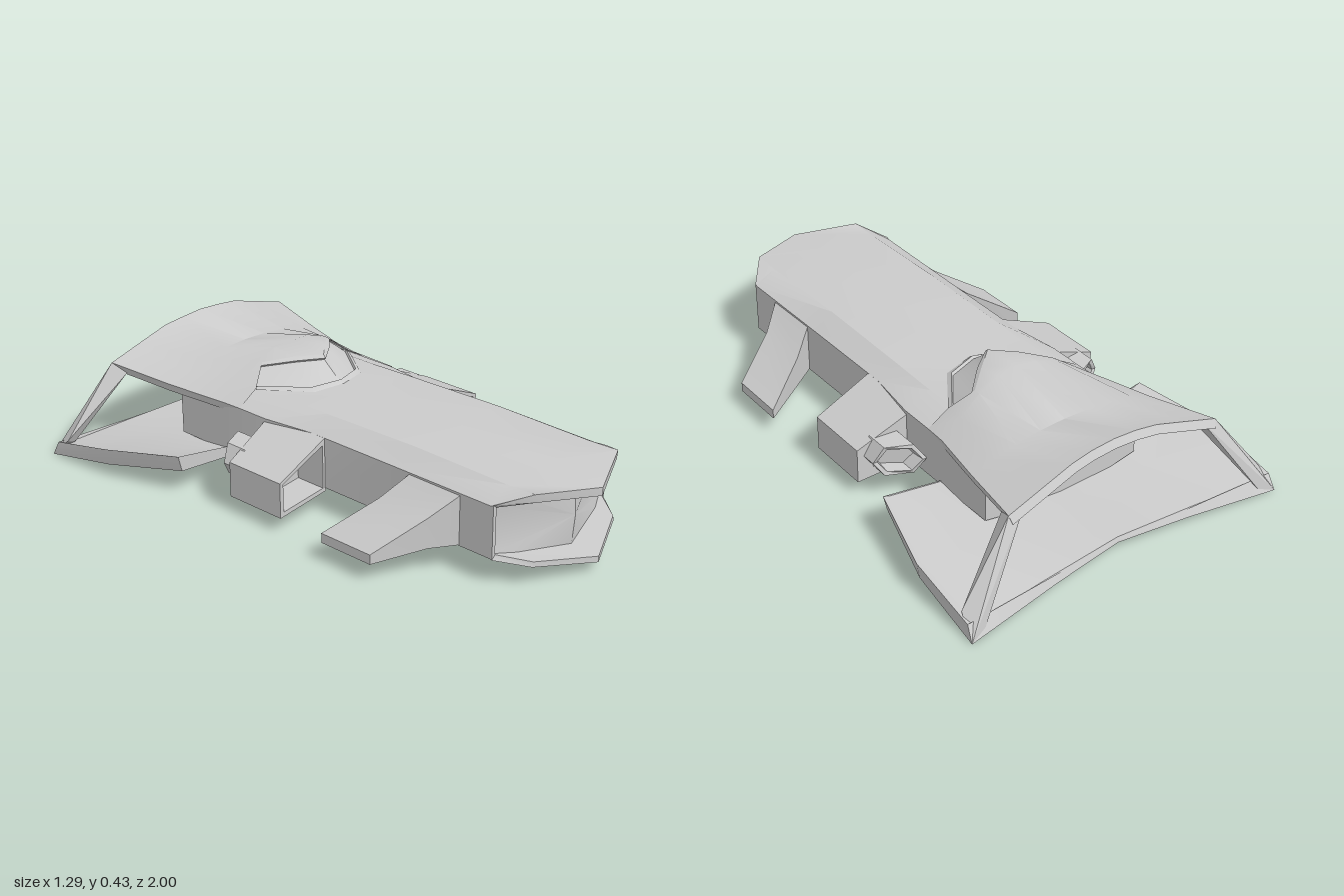
import * as THREE from 'three';
import { toCreasedNormals } from 'three/addons/utils/BufferGeometryUtils.js';

const material = new THREE.MeshStandardMaterial({ color: 0xcccccc, side: THREE.DoubleSide });

// Skin a list of cross-sections; each section is a list of [x, y, z]
function loft(name, sections, closed = true, crease = 0.5) {
  const pos = [];
  const same = (a, b) => a.every((v, i) => Math.abs(v - b[i]) < 1e-6);
  const tri = (a, b, c) => {
    if (!same(a, b) && !same(b, c) && !same(a, c)) pos.push(...a, ...b, ...c);
  };
  for (let i = 0; i < sections.length - 1; i++) {
    const f = sections[i], b = sections[i + 1], n = f.length;
    for (let j = 0; j < (closed ? n : n - 1); j++) {
      const k = (j + 1) % n;
      tri(f[j], b[j], b[k]);
      tri(f[j], b[k], f[k]);
    }
  }
  const geo = new THREE.BufferGeometry();
  geo.setAttribute('position', new THREE.Float32BufferAttribute(pos, 3));
  const mesh = new THREE.Mesh(toCreasedNormals(geo, crease), material);
  mesh.name = name;
  return mesh;
}

// Section collapsed to one point, used to close an end
const cap = (ring, p) => {
  const c = p ?? [0, 1, 2].map(i => ring.reduce((s, q) => s + q[i], 0) / ring.length);
  return ring.map(() => c);
};
// Mirror a half section (bottom centre ... top centre) into a full ring
const ring = half => [...half, ...half.slice(1, -1).reverse().map(([x, y, z]) => [-x, y, z])];
// Scale a section in x and y about a point and shift it in z
const inset = (r, cx, cy, sx, sy, dz = 0) =>
  r.map(([x, y, z]) => [cx + (x - cx) * sx, cy + (y - cy) * sy, z + dz]);
const atZ = (pts, z) => pts.map(([x, y]) => [x, y, z]);
const centre = pts => [0, 1].map(i => pts.reduce((s, p) => s + p[i], 0) / pts.length);

function buildHull() {
  // Pointed mouth rim, swept back towards the sides
  const rim = ring([[0, 0.042, 1], [0.22, 0.075, 0.9], [0.3, 0.095, 0.8],
    [0.3, 0.29, 0.8], [0.22, 0.333, 0.9], [0, 0.312, 1]]);
  const lip = ring([[0, 0.064, 1], [0.215, 0.093, 0.9], [0.285, 0.11, 0.8],
    [0.285, 0.278, 0.8], [0.215, 0.303, 0.9], [0, 0.282, 1]]);
  const wall = ring([[0, 0.07, 0.89], [0.21, 0.1, 0.83], [0.285, 0.11, 0.79],
    [0.285, 0.278, 0.79], [0.21, 0.298, 0.83], [0, 0.3, 0.89]]);
  const body = (z, w, top) => ring([[0, 0.043, z], [0.22, 0.078, z], [w, 0.097, z],
    [w, 0.285, z], [0.22, top - 0.008, z], [0, top, z]]);
  const back = body(-0.64, 0.32, 0.335);
  return loft('hull', [cap(wall, [0, 0.18, 0.9]), wall, lip, rim, body(0.79, 0.3, 0.338),
    body(0.4, 0.297, 0.346), body(0, 0.295, 0.34), body(-0.2, 0.322, 0.335),
    body(-0.4, 0.322, 0.335), back, cap(back)]);
}

function buildDeck() {
  // Hump behind the canopy that sinks, then flares up to the tail edge
  const tops = [
    [[0.322, 0.285, -0.33], [0.24, 0.335, -0.33], [0.165, 0.4, -0.375], [0.08, 0.417, -0.3], [0, 0.42, -0.23]],
    [[0.325, 0.285, -0.41], [0.25, 0.345, -0.41], [0.165, 0.4, -0.4], [0.08, 0.43, -0.39], [0, 0.436, -0.38]],
    [[0.375, 0.303, -0.64], [0.3, 0.328, -0.64], [0.2, 0.352, -0.64], [0.1, 0.363, -0.64], [0, 0.367, -0.64]],
    [[0.43, 0.332, -0.895], [0.3, 0.372, -0.89], [0.175, 0.41, -0.885], [0.09, 0.421, -0.88], [0, 0.427, -0.88]],
  ];
  const sections = tops.map((top, i) => {
    const dz = i === 3 ? -0.015 : 0;
    const under = top.map(([x, y, z]) => [x * 0.985, y - 0.028, z + dz]).reverse();
    return ring([...under, ...top]);
  });
  const last = sections[3];
  const half = last.length / 2;
  const deck = new THREE.Group();
  deck.name = 'rearDeck';
  deck.add(loft('deckShell', sections));
  // Strip closing the tail edge between upper and lower skin
  const upper = tops[3], lower = upper.map(([x, y, z]) => [x * 0.985, y - 0.028, z - 0.015]);
  const full = h => [...h, ...h.slice(0, -1).reverse().map(([x, y, z]) => [-x, y, z])];
  deck.add(loft('tailEdge', [full(upper), full(lower)], false));
  return deck;
}

function buildCanopy() {
  const base = [[0.24, 0.33, -0.33], [0.12, 0.333, -0.16], [0, 0.338, -0.13]];
  const top = [[0.165, 0.4, -0.375], [0.08, 0.417, -0.3], [0, 0.42, -0.23]];
  const steps = [[0, 0], [0.14, 0], [0.14, 0.008], [0.88, 0.008], [0.88, 0], [1, 0]];
  const rows = steps.map(([t, d]) => {
    const h = base.map((p, i) => p.map((v, k) => v + (top[i][k] - v) * t - (k ? d : 0)));
    return [...h, ...h.slice(0, -1).reverse().map(([x, y, z]) => [-x, y, z])];
  });
  return loft('canopyWindow', rows.reverse(), false, 0.4);
}

function buildTailPlate() {
  // Dished floor with raised outer lips and a notched rear edge
  const front = ring([[0, 0.043, -0.4], [0.32, 0.075, -0.4], [0.54, 0.095, -0.4], [0.555, 0.155, -0.4],
    [0.53, 0.145, -0.4], [0.32, 0.11, -0.4], [0, 0.08, -0.4]]);
  const mid = ring([[0, 0.043, -0.7], [0.32, 0.052, -0.7], [0.625, 0.052, -0.7], [0.636, 0.115, -0.7],
    [0.605, 0.1, -0.7], [0.32, 0.078, -0.7], [0, 0.07, -0.7]]);
  const rear = ring([[0, 0.042, -0.93], [0.32, 0.028, -0.962], [0.645, 0.004, -1], [0.64, 0.06, -0.97],
    [0.6, 0.045, -0.965], [0.32, 0.055, -0.945], [0, 0.062, -0.925]]);
  return loft('tailPlate', [cap(front, [0, 0.06, -0.4]), front, mid, rear, cap(rear, [0, 0.052, -0.928])]);
}

function buildSide() {
  const side = new THREE.Group();

  // Tail frame strut
  const strutTop = [[0.41, 0.302, -0.835], [0.37, 0.325, -0.85], [0.37, 0.345, -0.895], [0.43, 0.332, -0.895]];
  const strutEnd = [[0.63, 0.075, -0.925], [0.585, 0.055, -0.94], [0.585, 0.02, -0.985], [0.645, 0.004, -1]];
  side.add(loft('tailStrut', [cap(strutTop), strutTop, strutEnd, cap(strutEnd)], true, 0.2));

  // Swept fin, drooping from the hull shoulder
  const finRing = (x, zf, zb, yt, yb) => [[x, yb, zf], [x, yt, zf], [x, yt, zb], [x, yb, zb]];
  const tip = finRing(0.55, 0.505, 0.29, 0.105, 0.07);
  side.add(loft('fin', [finRing(0.29, 0.67, 0.45, 0.285, 0.1), finRing(0.38, 0.6, 0.39, 0.205, 0.095),
    tip, cap(tip)], true, 0.3));

  // Shoulder intake with a recessed front
  const shape = [[0.29, 0.085], [0.51, 0.06], [0.51, 0.19], [0.29, 0.287]];
  const [cx, cy] = centre(shape);
  const face = atZ(shape, 0.06);
  const mouth = inset(face, cx, cy, 0.86, 0.8);
  const floor = inset(mouth, cx, cy, 1, 1, -0.12);
  const rear = shape.map(([x, y]) => [x, y, x > 0.4 ? -0.185 : -0.21]);
  side.add(loft('intake', [cap(floor), floor, mouth, face, rear, cap(rear)], true, 0.2));

  // Hexagonal thruster with a slanted hollow end
  const hex = [[0.32, 0.16], [0.36, 0.105], [0.45, 0.105], [0.485, 0.16], [0.45, 0.22], [0.36, 0.22]];
  const end = hex.map(([x, y]) => [x, y, -0.32 + (x - 0.32) * 0.48]);
  const nozzle = inset(end, 0.4, 0.162, 0.8, 0.78);
  const bottom = inset(nozzle, 0.4, 0.162, 0.9, 0.9, 0.05);
  side.add(loft('thruster', [atZ(hex, -0.17), end, nozzle, bottom, cap(bottom)], true, 0.2));
  return side;
}

export function createModel() {
  const model = new THREE.Group();
  model.name = 'spacecraft';
  model.add(buildHull(), buildDeck(), buildCanopy(), buildTailPlate());
  const left = buildSide();
  left.name = 'leftSide';
  const right = buildSide();
  right.name = 'rightSide';
  right.scale.x = -1;
  model.add(left, right);
  return model;
}
